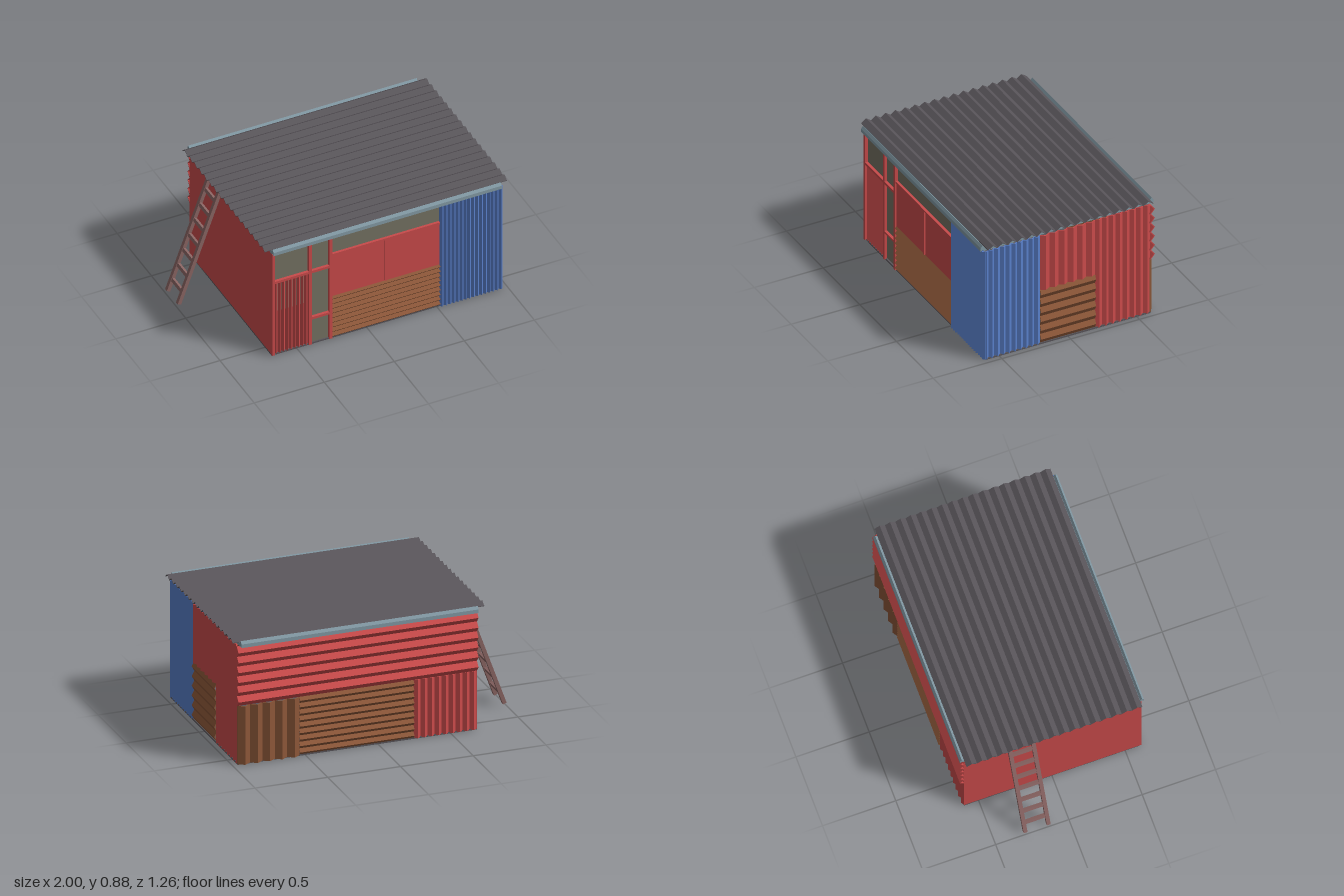
import * as THREE from 'three';

const mat = (name, color) => {
  const m = new THREE.MeshStandardMaterial({ color });
  m.name = name;
  return m;
};

// Zigzag sheet: u along x (0..w), length along y (0..h), ridges toward +z
function corrugated(w, h, n, depth, t = 0.008) {
  const top = [];
  for (let i = 0; i <= n * 2; i++) top.push([(i * w) / (n * 2), i % 2 ? depth : 0]);
  const back = top.map(([u, d]) => [u, d - t]).reverse();
  const shape = new THREE.Shape([...top, ...back].map(([u, d]) => new THREE.Vector2(u, -d)));
  return new THREE.ExtrudeGeometry(shape, { depth: h, bevelEnabled: false }).rotateX(-Math.PI / 2);
}

export function createModel() {
  const root = new THREE.Group();
  root.name = 'corrugatedShed';
  const red = mat('red metal', 0xc84a4a);
  const blue = mat('blue metal', 0x587ec8);
  const brown = mat('rusty brown', 0x8b5638);
  const glass = mat('olive glass', 0x747162);
  const dark = mat('dark grey', 0x585459);
  const steel = mat('gutter steel', 0x8299a4);
  const wood = mat('ladder wood', 0x8a6563);

  const add = (name, geo, m, parent = root) => {
    const mesh = new THREE.Mesh(geo, m);
    mesh.name = name;
    parent.add(mesh);
    return mesh;
  };
  // Box given by its limits
  const box = (name, m, x0, x1, y0, y1, z0, z1, parent) =>
    add(name, new THREE.BoxGeometry(x1 - x0, y1 - y0, z1 - z0)
      .translate((x0 + x1) / 2, (y0 + y1) / 2, (z0 + z1) / 2), m, parent);

  // Each wall is a group whose local +z points outward
  const wall = (name, angle) => {
    const g = new THREE.Group();
    g.name = name;
    g.rotation.y = angle;
    root.add(g);
    return g;
  };
  const front = wall('frontWall', 0);
  const right = wall('sideWall', Math.PI / 2);
  const back = wall('backWall', Math.PI);

  const upright = (g, name, m, u0, u1, y0, y1, n, base, depth) =>
    add(name, corrugated(u1 - u0, y1 - y0, n, depth).translate(u0, y0, base), m, g);
  const level = (g, name, m, u0, u1, y0, y1, n, base, depth) =>
    add(name, corrugated(y1 - y0, u1 - u0, n, depth)
      .rotateZ(Math.PI / 2).translate(u1, y0, base), m, g);

  // Floor and flat end wall
  box('floor', dark, -0.68, 0.965, 0, 0.01, -0.6, 0.6);
  box('flatEndWall', red, -0.68, -0.66, 0.005, 0.82, -0.6, 0.6);

  // Front wall: door and window frame on one side
  box('windowPane', glass, -0.67, 0.53, 0.34, 0.82, 0.575, 0.59, front);
  box('doorPane', glass, -0.41, -0.26, 0.005, 0.36, 0.575, 0.59, front);
  upright(front, 'lowerRedPanel', red, -0.66, -0.418, 0.005, 0.577, 9, 0.588, 0.015);
  for (const [a, b] of [[-0.68, -0.662], [-0.418, -0.396], [-0.272, -0.25]])
    box('framePost', red, a, b, 0.005, 0.82, 0.585, 0.61, front);
  box('windowSill', red, -0.68, -0.26, 0.577, 0.595, 0.585, 0.61, front);
  box('doorRail', red, -0.4, -0.26, 0.204, 0.222, 0.585, 0.61, front);

  // Front wall: counter with two shutters
  box('shutterLeft', red, 0.135, 0.52, 0.33, 0.67, 0.585, 0.6, front);
  box('shutterRight', red, -0.25, 0.135, 0.33, 0.67, 0.585, 0.6, front);
  box('shutterRail', red, -0.25, 0.52, 0.665, 0.68, 0.585, 0.608, front);
  box('shutterPost', red, 0.127, 0.143, 0.34, 0.67, 0.585, 0.608, front);
  level(front, 'counterPanel', brown, -0.25, 0.52, 0.005, 0.342, 9, 0.595, 0.018);
  upright(front, 'frontBluePanel', blue, 0.518, 0.966, 0.005, 0.82, 16, 0.605, 0.015);

  // Side wall (local x runs toward the back)
  upright(right, 'sideBluePanel', blue, -0.615, -0.2, 0.005, 0.82, 10, 0.955, 0.015);
  level(right, 'sideBrownPanel', brown, -0.2, 0.2, 0.005, 0.41, 6, 0.955, 0.018);
  upright(right, 'sideUpperRedPanel', red, -0.2, 0.2, 0.41, 0.82, 6, 0.958, 0.018);
  upright(right, 'sideRedPanel', red, 0.2, 0.6, 0.005, 0.82, 8, 0.955, 0.015);

  // Back wall (local x runs toward the flat end)
  upright(back, 'backBrownUpright', brown, -0.965, -0.54, 0.005, 0.41, 5, 0.6, 0.028);
  level(back, 'backBrownPanel', brown, -0.54, 0.245, 0.005, 0.41, 9, 0.595, 0.02);
  upright(back, 'backRedPanel', red, 0.245, 0.68, 0.005, 0.41, 9, 0.595, 0.018);
  for (const [a, b] of [[-0.97, -0.54], [-0.54, 0.245], [0.245, 0.68]])
    level(back, 'backUpperRedPanel', red, a, b, 0.41, 0.82, 6, 0.6, 0.028);

  // Roof frame and zigzag sheet
  box('roofFrame', steel, -0.68, 0.95, 0.82, 0.845, -0.605, 0.605);
  const toRoof = new THREE.Matrix4().makeBasis(
    new THREE.Vector3(0, 0, 1), new THREE.Vector3(1, 0, 0), new THREE.Vector3(0, 1, 0));
  add('roofSheet', corrugated(1.2, 1.73, 17, 0.024, 0.004)
    .applyMatrix4(toRoof).translate(-0.73, 0.853, -0.6), dark);

  // Gutters along both long edges
  const profile = new THREE.Shape([[0.602, 0.82], [0.614, 0.83], [0.628, 0.82],
    [0.628, 0.845], [0.615, 0.864], [0.602, 0.845]].map(p => new THREE.Vector2(...p)));
  for (const [g, start] of [[front, -0.68], [back, -0.95]])
    add('gutter', new THREE.ExtrudeGeometry(profile, { depth: 1.63, bevelEnabled: false })
      .rotateY(-Math.PI / 2).applyMatrix4(new THREE.Matrix4().makeRotationY(Math.PI))
      .rotateY(Math.PI).translate(start + 1.63, 0, 0), steel, g)
      .geometry.computeVertexNormals();

  // Leaning ladder
  const ladder = new THREE.Group();
  ladder.name = 'ladder';
  const dx = 0.295, dy = 0.81, len = Math.hypot(dx, dy);
  ladder.position.set(-0.985, 0.02, -0.215);
  ladder.rotation.z = -Math.atan2(dx, dy);
  root.add(ladder);
  for (const s of [-1, 1])
    box('ladderRail', wood, -0.013, 0.013, 0, len, s * 0.079 - 0.013, s * 0.079 + 0.013, ladder);
  for (let i = 0; i < 7; i++) {
    const y = 0.09 + i * 0.115;
    box('ladderRung', wood, -0.01, 0.01, y - 0.012, y + 0.012, -0.07, 0.07, ladder);
  }
  return root;
}
